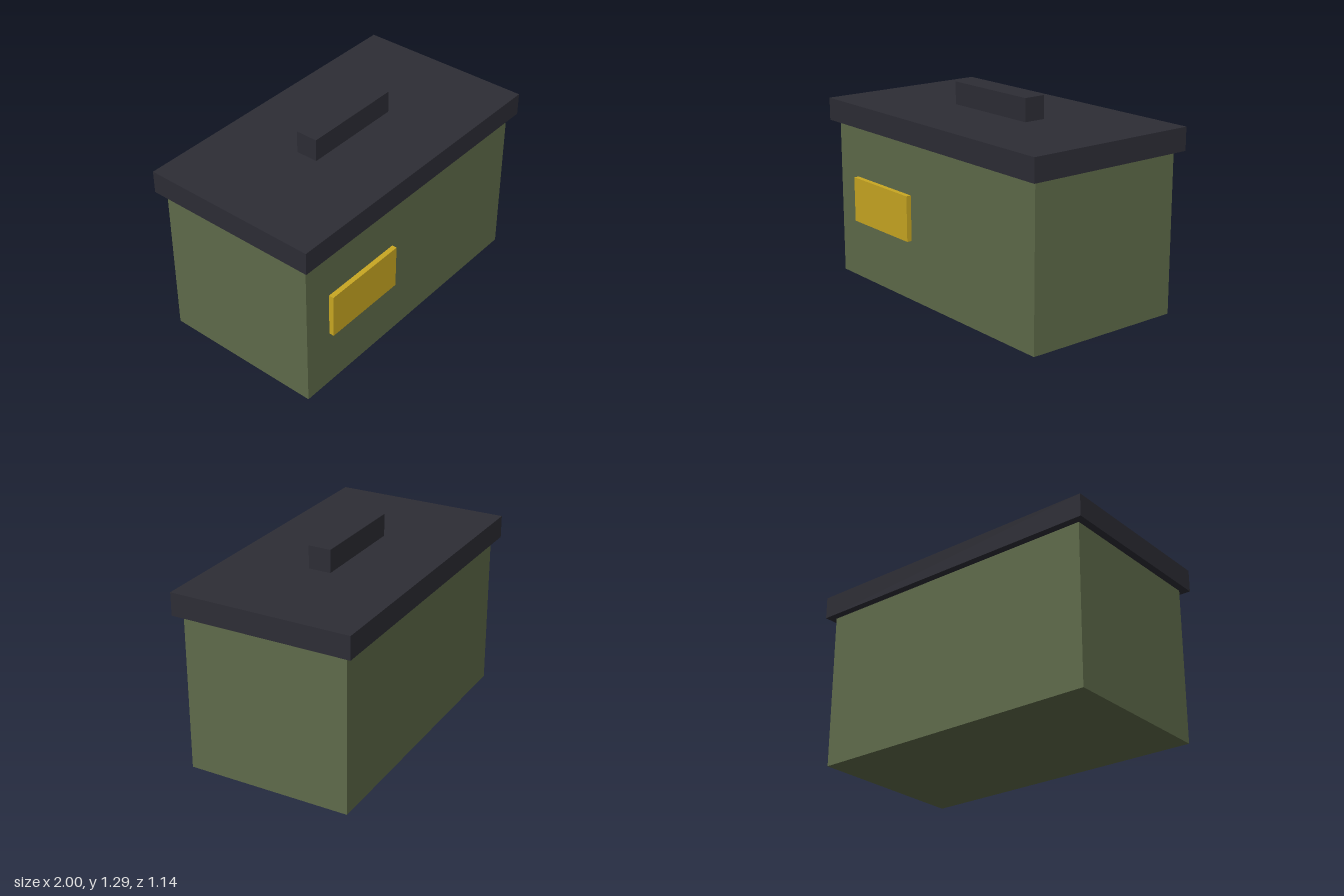
import * as THREE from 'three';

const material = (name, color) => {
  const m = new THREE.MeshStandardMaterial({ color });
  m.name = name;
  return m;
};

// Box placed by its size and centre
function box(name, mat, [w, h, d], [x, y, z]) {
  const mesh = new THREE.Mesh(new THREE.BoxGeometry(w, h, d), mat);
  mesh.name = name;
  mesh.position.set(x, y, z);
  return mesh;
}

export function createModel() {
  const olive = material('olive green', 0x5f6b4a);
  const charcoal = material('charcoal', 0x2d2d35);
  const yellow = material('mustard yellow', 0xc9a722);

  const group = new THREE.Group();
  group.name = 'storageBox';
  group.add(
    box('body', olive, [1.905, 1, 1.048], [0, 0.5, 0]),
    // Overhanging lid with a bar handle
    box('lid', charcoal, [2, 0.143, 1.143], [0, 1.0715, 0]),
    box('handle', charcoal, [0.667, 0.143, 0.143], [0, 1.2145, 0]),
    // Raised plate on the front, slightly sunk into the body
    box('frontLabel', yellow, [0.571, 0.286, 0.048], [-0.476, 0.524, 0.532])
  );
  return group;
}
